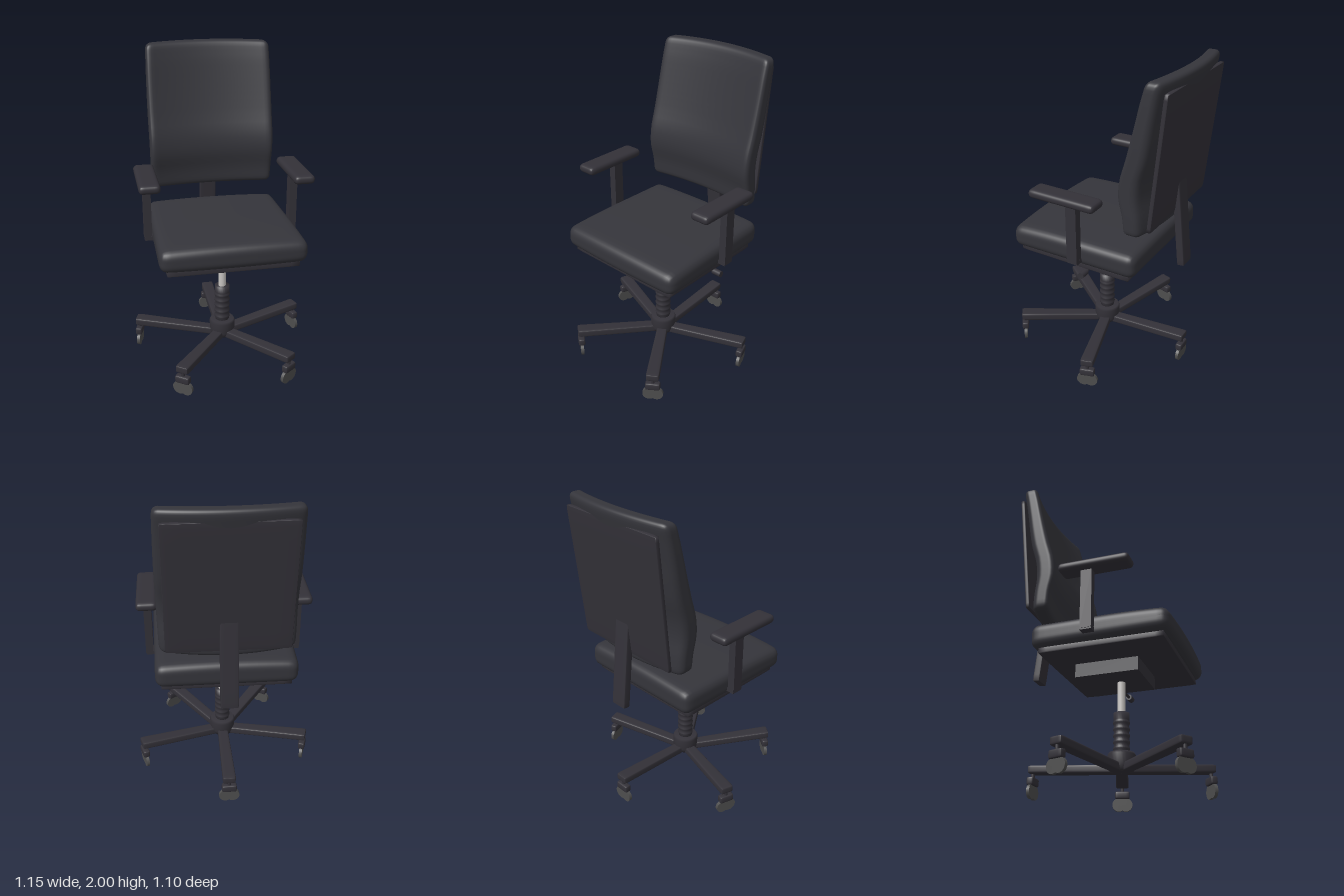
import * as THREE from 'three';
import { mergeVertices } from 'three/addons/utils/BufferGeometryUtils.js';

const mat = (name, color, extra = {}) => Object.assign(new THREE.MeshStandardMaterial({ color, ...extra }), { name });

// Smooth rounded box with vertices gathered near its edges; warp(p) may reshape it.
function pillow(w, h, d, r, n = 14, warp = null) {
  const g = new THREE.BoxGeometry(2, 2, 2, n, n, n);
  g.deleteAttribute('uv');
  g.deleteAttribute('normal');
  const pos = g.attributes.position;
  const half = new THREE.Vector3(w / 2, h / 2, d / 2);
  const inner = half.clone().subScalar(r);
  const lower = inner.clone().negate();
  const p = new THREE.Vector3(), q = new THREE.Vector3();
  const ease = t => Math.sin(t * Math.PI / 2);
  for (let i = 0; i < pos.count; i++) {
    p.fromBufferAttribute(pos, i);
    p.set(ease(p.x), ease(p.y), ease(p.z)).multiply(half);
    q.copy(p).clamp(lower, inner);
    p.sub(q).normalize().multiplyScalar(r).add(q);
    if (warp) warp(p);
    pos.setXYZ(i, p.x, p.y, p.z);
  }
  const out = mergeVertices(g, 1e-5);
  out.computeVertexNormals();
  return out;
}

function add(parent, name, geometry, material, x = 0, y = 0, z = 0) {
  const m = new THREE.Mesh(geometry, material);
  m.name = name;
  m.position.set(x, y, z);
  parent.add(m);
  return m;
}

export function createModel() {
  const fabric = mat('charcoal fabric', 0x35353b);
  const plastic = mat('dark plastic', 0x333138);
  const rubber = mat('grey wheel', 0x4e4e4e);
  const steel = mat('light steel', 0xc8c5c2);
  const chair = new THREE.Group();
  chair.name = 'officeChair';

  // Column and star base share one axis, slightly forward of centre
  const base = new THREE.Group();
  base.name = 'base';
  base.position.z = 0.045;
  chair.add(base);

  add(base, 'gasLift', new THREE.CylinderGeometry(0.025, 0.025, 0.24, 24), steel, 0, 0.57, 0);

  // Ribbed sleeve
  const rib = [[0, 0.22], [0.046, 0.22]];
  for (let i = 0; i < 5; i++) {
    const y = 0.26 + i * 0.04;
    rib.push([0.046, y - 0.012], [0.051, y - 0.005], [0.051, y + 0.005], [0.046, y + 0.012]);
  }
  rib.push([0.048, 0.436], [0.048, 0.482], [0, 0.482]);
  add(base, 'sleeve', new THREE.LatheGeometry(rib.map(a => new THREE.Vector2(...a)), 24), plastic);

  const hub = [[0, 0.12], [0.07, 0.12], [0.082, 0.15], [0.085, 0.22], [0.077, 0.235], [0, 0.235]];
  add(base, 'hub', new THREE.LatheGeometry(hub.map(a => new THREE.Vector2(...a)), 28), plastic);

  // Five legs rising outwards, each with a twin-wheel caster
  const legGeo = pillow(0.085, 0.05, 0.59, 0.012, 8, p => {
    p.z += 0.295;
    p.x *= 0.8 + 0.2 * p.z / 0.59;
    p.y += 0.137 + 0.043 * p.z / 0.59;
  });
  const capGeo = pillow(0.095, 0.05, 0.045, 0.012, 6);
  const pinGeo = new THREE.CylinderGeometry(0.012, 0.012, 0.05, 12);
  const wheelGeo = new THREE.CylinderGeometry(0.043, 0.043, 0.02, 24).rotateX(Math.PI / 2);
  for (let i = 0; i < 5; i++) {
    const arm = new THREE.Group();
    arm.name = 'baseArm' + (i + 1);
    arm.rotation.y = Math.PI + i * Math.PI * 2 / 5;
    base.add(arm);
    add(arm, 'leg', legGeo, plastic);
    add(arm, 'casterPin', pinGeo, plastic, 0, 0.145, 0.57);
    add(arm, 'casterCap', capGeo, plastic, 0, 0.107, 0.57);
    for (const s of [-1, 1]) add(arm, 'casterWheel', wheelGeo, rubber, s * 0.023, 0.045, 0.57);
  }

  // Seat mechanism with side lever
  add(chair, 'mechanism', new THREE.BoxGeometry(0.36, 0.095, 0.4), plastic, 0, 0.7275, 0.01);
  add(chair, 'leverRod', new THREE.CylinderGeometry(0.01, 0.01, 0.22, 12).rotateZ(Math.PI / 2), plastic, 0.27, 0.722, -0.025);
  add(chair, 'leverKnob', new THREE.CylinderGeometry(0.02, 0.02, 0.06, 16).rotateZ(Math.PI / 2), plastic, 0.4, 0.722, -0.025);
  add(chair, 'seatPan', pillow(0.81, 0.04, 0.77, 0.008, 6), plastic, 0, 0.785, 0.045);

  // Seat cushion: crowned, lower at the front, narrower at the back
  add(chair, 'seatCushion', pillow(0.9, 0.155, 0.855, 0.055, 22, p => {
    const u = p.x / 0.45, v = p.z / 0.43;
    p.x *= 0.985 + 0.015 * v;
    p.z += 0.012 * (1 - u * u) * Math.max(v, 0);
    if (p.y > 0) p.y += 0.012 * (1 - u * u) - 0.016 * Math.max(v, 0) ** 2;
  }), fabric, 0, 0.876, 0.04);

  // Armrests
  const padGeo = pillow(0.13, 0.056, 0.445, 0.026, 14);
  const postGeo = new THREE.BoxGeometry(0.048, 0.39, 0.07);
  const footGeo = new THREE.BoxGeometry(0.1, 0.025, 0.072);
  for (const s of [-1, 1]) {
    const armrest = new THREE.Group();
    armrest.name = s > 0 ? 'leftArmrest' : 'rightArmrest';
    chair.add(armrest);
    add(armrest, 'armPad', padGeo, plastic, s * 0.47, 1.2525, 0.0425);
    add(armrest, 'armPost', postGeo, plastic, s * 0.471, 1.04, -0.007);
    add(armrest, 'armFoot', footGeo, plastic, s * 0.442, 0.848, -0.007);
  }

  // Backrest cushion: (front z, back z) pairs at even heights, curved across its width
  const y0 = 1.06, height = 0.94, depth = 0.12;
  const section = new THREE.SplineCurve([
    [-0.342, -0.45], [-0.333, -0.445], [-0.308, -0.432], [-0.317, -0.442], [-0.35, -0.475],
    [-0.38, -0.497], [-0.408, -0.515], [-0.435, -0.535], [-0.463, -0.556],
  ].map(a => new THREE.Vector2(...a)));
  add(chair, 'backCushion', pillow(0.82, height, depth, 0.038, 30, p => {
    const t = THREE.MathUtils.clamp(p.y / height + 0.5, 0, 1);
    const c = section.getPoint(t);
    const u = p.x / 0.41;
    p.z = THREE.MathUtils.lerp(c.y, c.x, p.z / depth + 0.5) + 0.055 * u * u;
    p.x *= 1 - 0.02 * (2 * t - 1) ** 2;
    p.y += y0 + height / 2 - 0.008 * u * u * (2 * t - 1);
  }), fabric);

  // Flat rear panel, leaning back
  const panel = add(chair, 'backPanel', pillow(0.735, 0.83, 0.03, 0.01, 8), plastic, 0, 1.52, -0.485);
  panel.rotation.x = -0.1;

  // Support bar behind the backrest
  const bar = add(chair, 'backSupport', pillow(0.11, 0.6, 0.048, 0.008, 6), plastic, 0, 1.045, -0.482);
  bar.rotation.x = 0.105;

  return chair;
}
